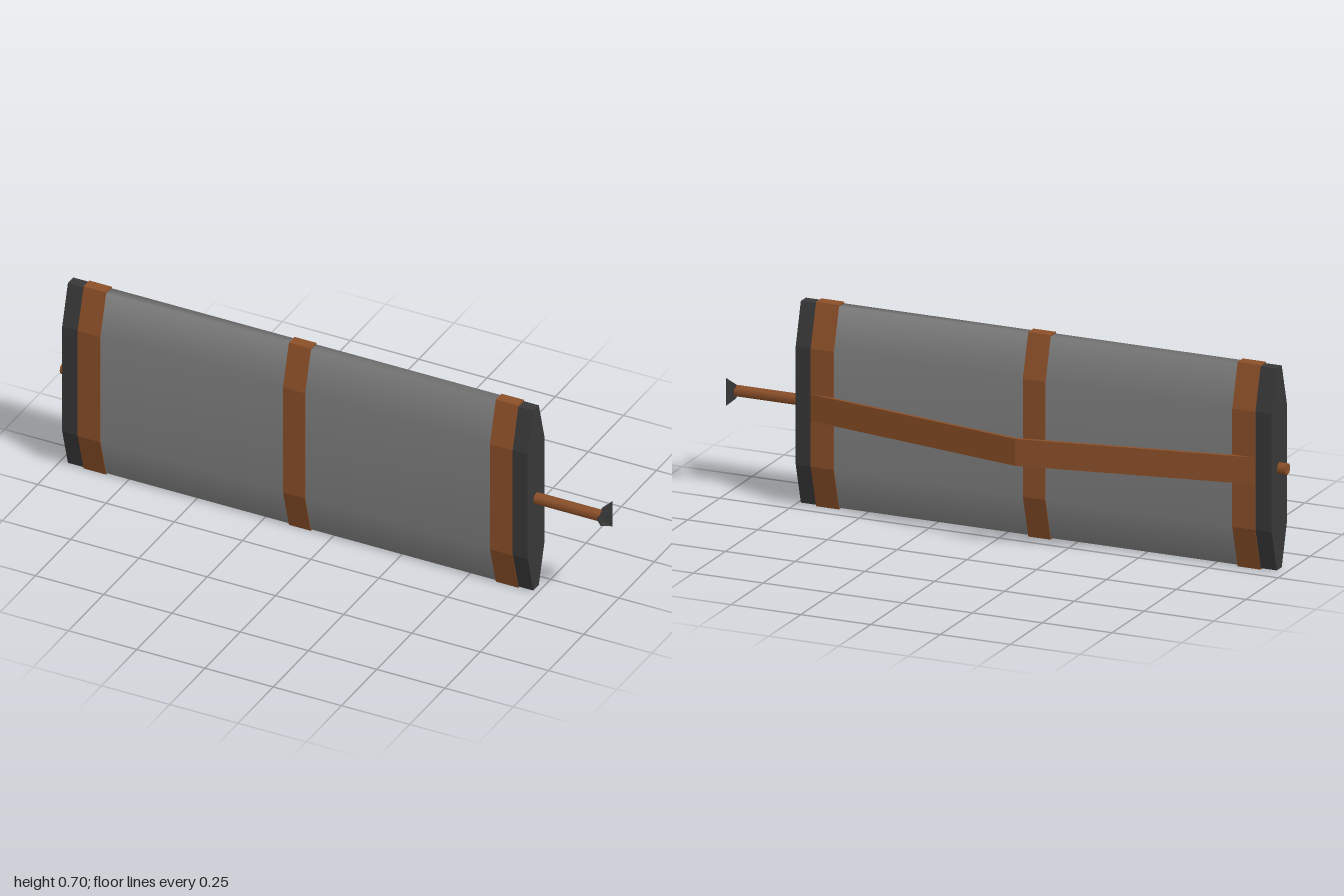
import * as THREE from 'three';

const CY = 0.35, CZ = 0.0745; // axis of the case

// Eight-sided section as [z, y] points, shrunk by an inset
function section(inset = 0) {
  const a = 0.0625 - inset, b = 0.02 - inset * 0.2, h = 0.35 - inset * 1.6, s = 0.202;
  return [[b, h], [a, s], [a, -s], [b, -h], [-b, -h], [-a, -s], [-a, s], [-b, h]];
}

// Smooth open sleeve along x
function sleeveGeometry(x0, x1, inset) {
  const pts = section(inset), n = pts.length, pos = [], idx = [];
  for (const x of [x0, x1]) for (const [z, y] of pts) pos.push(x, CY + y, CZ + z);
  for (let i = 0; i < n; i++) {
    const j = (i + 1) % n;
    idx.push(i, i + n, j, j, i + n, j + n);
  }
  // keep the winding outward: first quad must face away from the axis
  const g = new THREE.BufferGeometry();
  g.setAttribute('position', new THREE.Float32BufferAttribute(pos, 3));
  for (let k = 0; k < idx.length; k += 3) [idx[k + 1], idx[k + 2]] = [idx[k + 2], idx[k + 1]];
  g.setIndex(idx);
  g.computeVertexNormals();
  return g;
}

// Flat-sided solid slab of the section along x
function slabGeometry(x0, x1, inset) {
  const shape = new THREE.Shape(section(inset).map(([z, y]) => new THREE.Vector2(z, y)));
  const g = new THREE.ExtrudeGeometry(shape, { depth: x1 - x0, bevelEnabled: false });
  g.rotateY(Math.PI / 2);
  g.translate(x0, CY, CZ);
  return g;
}

export function createModel() {
  const group = new THREE.Group();
  const make = (name, color) => {
    const m = new THREE.MeshStandardMaterial({ color });
    m.name = name;
    return m;
  };
  const grey = make('grey cloth', 0x808080);
  const brown = make('brown leather', 0x8b4f28);
  const dark = make('dark metal', 0x383838);
  const add = (name, geometry, material) => {
    const mesh = new THREE.Mesh(geometry, material);
    mesh.name = name;
    group.add(mesh);
    return mesh;
  };

  // Case body and its dark ends
  add('caseBody', sleeveGeometry(-0.9, 0.67, 0.0035), grey);
  [[-0.97, -0.88], [0.65, 0.735]].forEach(([a, b], i) =>
    add(i ? 'leftEndCap' : 'rightEndCap', slabGeometry(a, b, 0.003), dark));

  // Leather bands
  [[-0.912, -0.83], [-0.16, -0.08], [0.598, 0.68]].forEach(([a, b], i) =>
    add('band' + (i + 1), slabGeometry(a, b, 0), brown));

  // Carrying strap, bent once behind the case
  const strap = new THREE.Shape([
    [-0.912, 0.012], [-0.12, -0.137], [0.68, 0.012], [0.62, 0.012], [-0.12, -0.125], [-0.85, 0.012],
  ].map(([x, z]) => new THREE.Vector2(x, -z)));
  const strapGeo = new THREE.ExtrudeGeometry(strap, { depth: 0.092, bevelEnabled: false });
  strapGeo.rotateX(-Math.PI / 2);
  strapGeo.translate(0, 0.304, 0);
  add('strap', strapGeo, brown);

  // Rod running through the case
  const rod = new THREE.CylinderGeometry(0.02, 0.02, 1.975, 8);
  rod.rotateZ(-Math.PI / 2);
  rod.translate(-0.0125, CY, CZ);
  add('rod', rod, brown);

  // Three-sided flared tip with a recessed end
  const R = 0.056, r = 0.026, pos = [];
  const corner = (rad, x, i) => {
    const t = (i * 2 * Math.PI) / 3;
    return [x, CY + rad * Math.sin(t), CZ + rad * Math.cos(t)];
  };
  for (let i = 0; i < 3; i++) {
    const a = corner(r, 0.97, i), b = corner(r, 0.97, i + 1);
    const A = corner(R, 1, i), B = corner(R, 1, i + 1);
    pos.push(...a, ...b, ...A, ...A, ...b, ...B);         // flare
    pos.push(...[0.972, CY, CZ], ...corner(r, 0.972, i + 1), ...corner(r, 0.972, i)); // floor
  }
  const tip = new THREE.BufferGeometry();
  tip.setAttribute('position', new THREE.Float32BufferAttribute(pos, 3));
  tip.computeVertexNormals();
  const tipMetal = make('tip metal', 0x383838);
  tipMetal.side = THREE.DoubleSide;
  add('tip', tip, tipMetal);

  return group;
}
